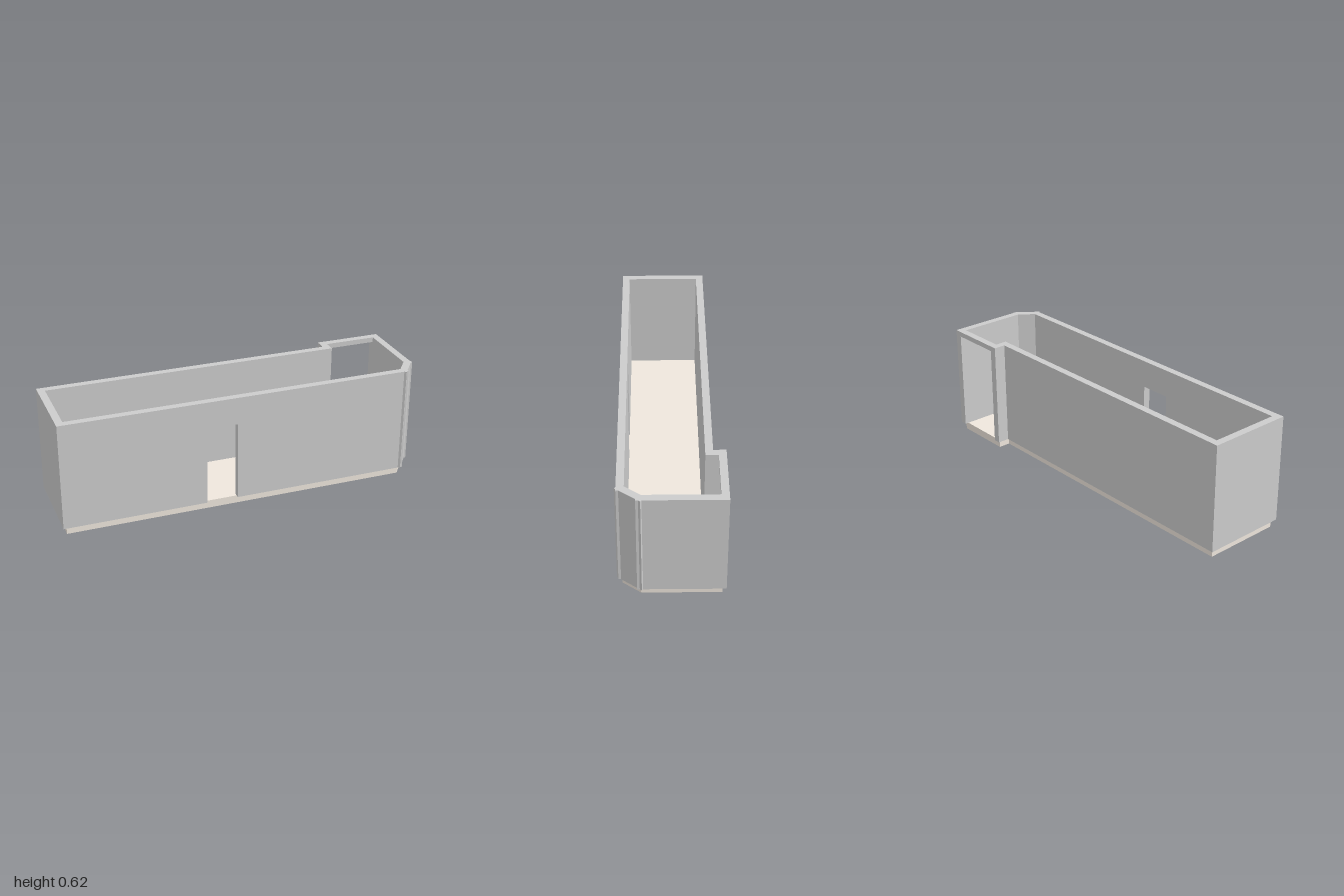
import * as THREE from 'three';

const THICK = 0.039, BASE = 0.043, HEIGHT = 0.582;

// Wall centre lines as [x, z] corners, in order around the room
const PLAN = [
  [-0.98, 0.243], [0.9, 0.243], [0.97, 0.15], [0.97, -0.25],
  [0.645, -0.25], [0.645, -0.185], [-0.98, -0.185],
];
const NAMES = ['frontWall', 'chamferWall', 'leftEndWall', 'alcoveBackWall',
  'alcoveStepWall', 'backWall', 'rightEndWall'];

// Openings down to the floor: start and end along the wall, and height
const OPENINGS = {
  frontWall: [0.755, 0.925, 0.432],
  alcoveBackWall: [0.015, 0.31, 0.554],
};

// Straight wall between two corners, overrunning each by half its thickness
function makeWall(a, b, opening, material) {
  const dx = b[0] - a[0], dz = b[1] - a[1];
  const length = Math.hypot(dx, dz), h = THICK / 2;
  const shape = new THREE.Shape();
  shape.moveTo(-h, 0);
  if (opening) {
    const [from, to, top] = opening;
    shape.lineTo(from, 0);
    shape.lineTo(from, top);
    shape.lineTo(to, top);
    shape.lineTo(to, 0);
  }
  shape.lineTo(length + h, 0);
  shape.lineTo(length + h, HEIGHT);
  shape.lineTo(-h, HEIGHT);
  shape.closePath();
  const geometry = new THREE.ExtrudeGeometry(shape, { depth: THICK, bevelEnabled: false });
  geometry.translate(0, 0, -h);
  const wall = new THREE.Mesh(geometry, material);
  wall.position.set(a[0], BASE, a[1]);
  wall.rotation.y = -Math.atan2(dz, dx);
  return wall;
}

export function createModel() {
  const model = new THREE.Group();
  model.name = 'room';
  const wallMaterial = new THREE.MeshStandardMaterial({ color: 0xcccccc });
  const floorMaterial = new THREE.MeshStandardMaterial({ color: 0xeee6dc });

  // Floor slab following the wall centre lines
  const outline = new THREE.Shape(PLAN.map(([x, z]) => new THREE.Vector2(x, -z)));
  const slab = new THREE.ExtrudeGeometry(outline, { depth: BASE, bevelEnabled: false });
  slab.rotateX(-Math.PI / 2);
  const floor = new THREE.Mesh(slab, floorMaterial);
  floor.name = 'floor';
  model.add(floor);

  // Walls
  const walls = new THREE.Group();
  walls.name = 'walls';
  PLAN.forEach((corner, i) => {
    const next = PLAN[(i + 1) % PLAN.length];
    const wall = makeWall(corner, next, OPENINGS[NAMES[i]], wallMaterial);
    wall.name = NAMES[i];
    walls.add(wall);
  });
  model.add(walls);

  return model;
}
